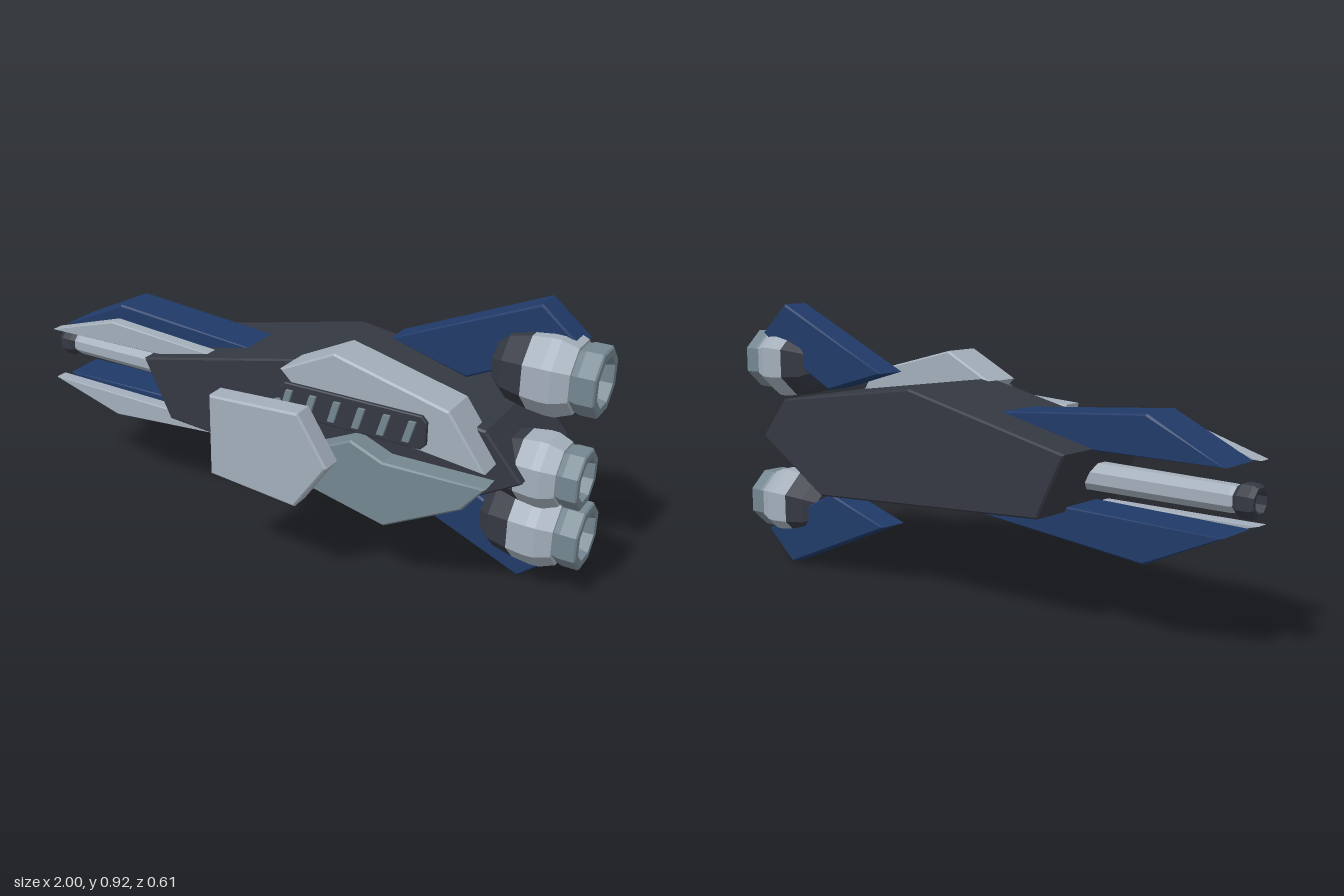
import * as THREE from 'three';

const mat = (name, color) => {
  const m = new THREE.MeshStandardMaterial({ color });
  m.name = name;
  return m;
};

export function createModel() {
  const charcoal = mat('charcoal', 0x343842);
  const light = mat('light grey', 0xa3aeba);
  const mid = mat('slate grey', 0x748690);
  const blue = mat('navy blue', 0x203a68);
  const glow = mat('cyan', 0x30c0d0);
  const group = new THREE.Group();
  const MID_Y = 0.465;

  const add = (name, geometry, material, parent = group) => {
    const mesh = new THREE.Mesh(geometry, material);
    mesh.name = name;
    parent.add(mesh);
    return mesh;
  };

  // Bevelled slab: a side outline in x, y extruded from z0 to z1
  const slab = (name, outline, z0, z1, material, bevel = 0.006) => {
    const shape = new THREE.Shape(outline.map(([x, y]) => new THREE.Vector2(x, y)));
    const geometry = new THREE.ExtrudeGeometry(shape, {
      depth: z1 - z0 - 2 * bevel, bevelEnabled: bevel > 0, bevelSegments: 1,
      bevelSize: bevel, bevelThickness: bevel, bevelOffset: -bevel,
    });
    geometry.translate(0, 0, z0 + bevel);
    return add(name, geometry, material);
  };
  const mirrorY = (outline) => outline.map(([x, y]) => [x, 2 * MID_Y - y]);

  // Eight-sided turned part along x, from [x, flat-to-centre radius] points
  const turned = (name, points, material, parent) => {
    const k = 1 / Math.cos(Math.PI / 8);
    const profile = points.map(([x, r]) => new THREE.Vector2(r * k, x));
    const geometry = new THREE.LatheGeometry(profile, 8, Math.PI / 8).toNonIndexed();
    geometry.computeVertexNormals();
    geometry.rotateZ(-Math.PI / 2);
    return add(name, geometry, material, parent);
  };

  // Main hull
  slab('hull', [[-0.5, 0.56], [-0.4, 0.36], [0.55, 0.29], [0.85, 0.465], [0.73, 0.605], [0.12, 0.692]],
    -0.302, 0.09, charcoal);

  // Front prongs and rear fins, mirrored above and below
  const blueProng = [[-0.935, 0.56], [-0.68, 0.68], [0.12, 0.61], [-0.1, 0.55]];
  const lightProng = [[-0.945, 0.557], [-0.67, 0.64], [-0.09, 0.595], [-0.3, 0.565]];
  const fin = [[0.3, 0.72], [0.78, 0.925], [0.905, 0.82], [0.655, 0.69], [0.56, 0.645]];
  for (const [side, f] of [['upper', (o) => o], ['lower', mirrorY]]) {
    slab(side + 'Prong', f(blueProng), -0.17, -0.02, blue);
    slab(side + 'ProngPlate', f(lightProng), -0.002, 0.045, light, 0.004);
    slab(side + 'Fin', f(fin), -0.248, -0.148, blue);
  }

  // Layered side armour
  slab('upperArmour', [[0.09, 0.685], [0.275, 0.775], [0.65, 0.68], [0.77, 0.512], [0.425, 0.55], [0.2, 0.58]],
    0.04, 0.175, light);
  slab('lowerArmour', [[0.12, 0.315], [0.45, 0.24], [0.7, 0.37], [0.77, 0.458], [0.44, 0.455], [0.33, 0.5], [0.2, 0.44]],
    0.045, 0.16, mid);
  slab('frontPlate', [[-0.085, 0.335], [-0.085, 0.605], [0.23, 0.62], [0.33, 0.465], [0.22, 0.307]],
    0.23, 0.303, light);

  // Hub and glowing disc behind the front plate
  for (const [name, r, z, depth, m] of [['hub', 0.12, 0.18, 0.05, mid], ['hubGlow', 0.075, 0.21, 0.02, glow]]) {
    const geometry = new THREE.CylinderGeometry(r, r, depth, 16).toNonIndexed();
    geometry.computeVertexNormals();
    geometry.rotateX(Math.PI / 2);
    add(name, geometry, m).position.set(0.11, MID_Y, z);
  }

  // Vent panel with slanted slats
  slab('ventPanel', [[0.11, 0.57], [0.11, 0.645], [0.125, 0.66], [0.58, 0.66], [0.597, 0.643], [0.597, 0.572], [0.58, 0.555], [0.125, 0.555]],
    0.188, 0.203, charcoal, 0.003);
  for (let i = 0; i < 6; i++) {
    const x = 0.115 + i * 0.082;
    slab('ventSlat', [[x, 0.573], [x + 0.022, 0.573], [x + 0.042, 0.64], [x + 0.02, 0.64]],
      0.203, 0.213, mid, 0);
  }

  // Gun barrel and hollow muzzle
  const gun = new THREE.Group();
  gun.name = 'gun';
  gun.position.set(0, MID_Y, -0.09);
  group.add(gun);
  turned('barrel', [[-0.95, 0], [-0.95, 0.032], [-0.92, 0.038], [-0.4, 0.042]], light, gun);
  turned('muzzle', [[-0.952, 0], [-0.952, 0.03], [-1, 0.03], [-1, 0.04], [-0.985, 0.047],
    [-0.95, 0.047], [-0.935, 0.038]], charcoal, gun);

  // Three engines, the middle one smaller
  const engine = (name, y, z, scale, end) => {
    const g = new THREE.Group();
    g.name = name;
    g.position.set(end, y, z);
    g.scale.setScalar(scale);
    group.add(g);
    turned('engineBase', [[-0.325, 0], [-0.325, 0.065], [-0.285, 0.1], [-0.215, 0.116]], charcoal, g);
    turned('engineCasing', [[-0.215, 0.116], [-0.155, 0.123], [-0.125, 0.122], [-0.075, 0.104], [-0.075, 0.07]], light, g);
    turned('nozzle', [[-0.08, 0.092], [-0.055, 0.1], [-0.005, 0.1], [0, 0.095], [0, 0.072], [-0.055, 0.06]], mid, g);
    turned('nozzleFloor', [[-0.055, 0.061], [-0.054, 0]], light, g);
  };
  engine('upperEngine', 0.722, -0.163, 1, 0.985);
  engine('lowerEngine', 0.208, -0.163, 1, 0.985);
  engine('middleEngine', 0.462, -0.047, 0.87, 0.998);

  return group;
}
